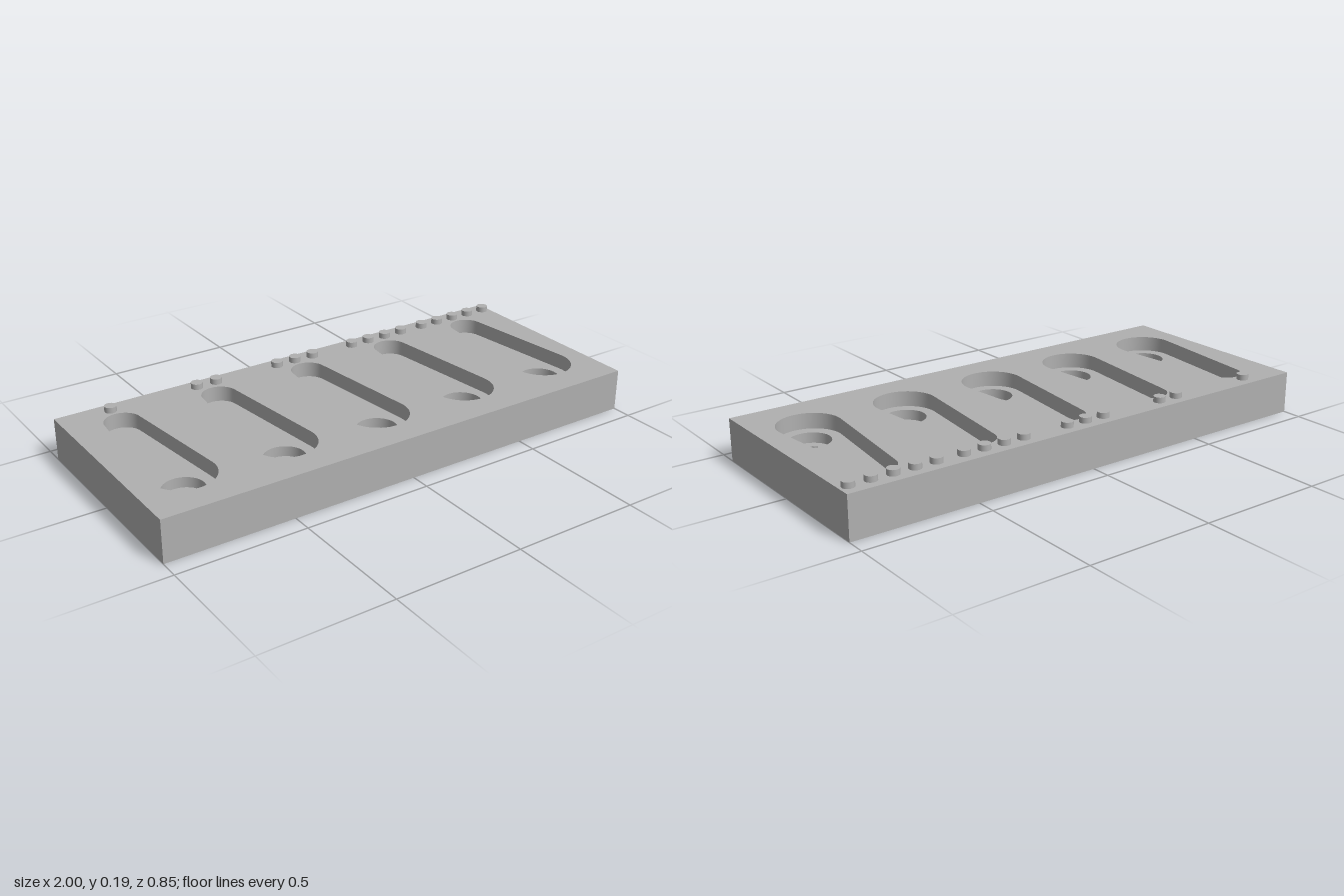
import * as THREE from 'three';

const HALF_W = 1, HALF_D = 0.425, TOP = 0.165;
const POCKET_Y = 0.105, BORE_Y = 0.065;        // pocket floor, counterbore floor
const BIG_Z = 0.195, SMALL_Z = -0.27, BIG_R = 0.12, SMALL_R = 0.069;
const BORE_R = 0.078, HOLE_R = 0.043;
const PEG_Z = -0.372, PEG_R = 0.023, PEG_H = 0.022, PEG_STEP = 0.083;

// Plan outlines run counter-clockwise seen from above, with plan y = -z
function arc(cx, cz, r, from, to, n) {
  return Array.from({ length: n + 1 }, (_, i) => {
    const a = from + (to - from) * i / n;
    return new THREE.Vector2(cx + r * Math.cos(a), -cz + r * Math.sin(a));
  });
}

const circle = (cx, cz, r) => arc(cx, cz, r, 0, Math.PI * 2, 48).slice(0, -1);

function teardrop(cx) {
  const tilt = Math.asin((BIG_R - SMALL_R) / (BIG_Z - SMALL_Z));
  return [
    ...arc(cx, SMALL_Z, SMALL_R, tilt, Math.PI - tilt, 24),
    ...arc(cx, BIG_Z, BIG_R, Math.PI - tilt, Math.PI * 2 + tilt, 32),
  ];
}

// Flat horizontal face with holes, facing up or down
function face(outline, holes, y, up = true) {
  const place = (pts) => (up ? pts : pts.map((p) => new THREE.Vector2(p.x, -p.y)));
  const shape = new THREE.Shape(place(outline));
  shape.holes = holes.map((h) => new THREE.Path(place(h)));
  const geo = new THREE.ShapeGeometry(shape);
  geo.rotateX(up ? -Math.PI / 2 : Math.PI / 2);
  return geo.translate(0, y, 0);
}

// Vertical wall along a closed outline, facing outward or inward
function wall(outline, y0, y1, inward) {
  const pts = inward ? [...outline].reverse() : outline;
  const pos = [], idx = [];
  pts.forEach((p, i) => {
    const a = 2 * i, b = 2 * ((i + 1) % pts.length);
    pos.push(p.x, y0, -p.y, p.x, y1, -p.y);
    idx.push(a, b, b + 1, a, b + 1, a + 1);
  });
  let geo = new THREE.BufferGeometry();
  geo.setAttribute('position', new THREE.Float32BufferAttribute(pos, 3));
  geo.setIndex(idx);
  if (!inward) geo = geo.toNonIndexed();       // crisp corners on the block
  geo.computeVertexNormals();
  return geo;
}

export function createModel() {
  const model = new THREE.Group();
  model.name = 'gaugeBlock';
  const grey = new THREE.MeshStandardMaterial({ color: 0xb0b0b0 });
  grey.name = 'grey';

  const add = (parent, name, geo) => {
    const mesh = new THREE.Mesh(geo, grey);
    mesh.name = name;
    parent.add(mesh);
    return mesh;
  };

  const xs = [-0.8, -0.4, 0, 0.4, 0.8];
  const rect = [[-1, -1], [1, -1], [1, 1], [-1, 1]]
    .map(([x, y]) => new THREE.Vector2(x * HALF_W, y * HALF_D));

  // Block shell
  const block = new THREE.Group();
  block.name = 'block';
  model.add(block);
  add(block, 'blockSides', wall(rect, 0, TOP, false));
  add(block, 'blockTop', face(rect, xs.map(teardrop), TOP));
  add(block, 'blockBottom', face(rect, xs.map((x) => circle(x, BIG_Z, HOLE_R)), 0, false));

  xs.forEach((x, i) => {
    // Teardrop pocket with a counterbored through hole
    const pocket = new THREE.Group();
    pocket.name = `pocket${i + 1}`;
    model.add(pocket);
    const drop = teardrop(x), bore = circle(x, BIG_Z, BORE_R), hole = circle(x, BIG_Z, HOLE_R);
    add(pocket, 'pocketWall', wall(drop, POCKET_Y, TOP, true));
    add(pocket, 'pocketFloor', face(drop, [bore], POCKET_Y));
    add(pocket, 'counterboreWall', wall(bore, BORE_Y, POCKET_Y, true));
    add(pocket, 'counterboreFloor', face(bore, [hole], BORE_Y));
    add(pocket, 'throughHole', wall(hole, 0, BORE_Y, true));

    // Counting pegs: one more for each pocket
    const pegs = new THREE.Group();
    pegs.name = `pegs${i + 1}`;
    model.add(pegs);
    for (let k = 0; k <= i; k++) {
      add(pegs, 'peg', new THREE.CylinderGeometry(PEG_R, PEG_R, PEG_H, 32))
        .position.set(x + (k - i / 2) * PEG_STEP, TOP + PEG_H / 2, PEG_Z);
    }
  });

  return model;
}
